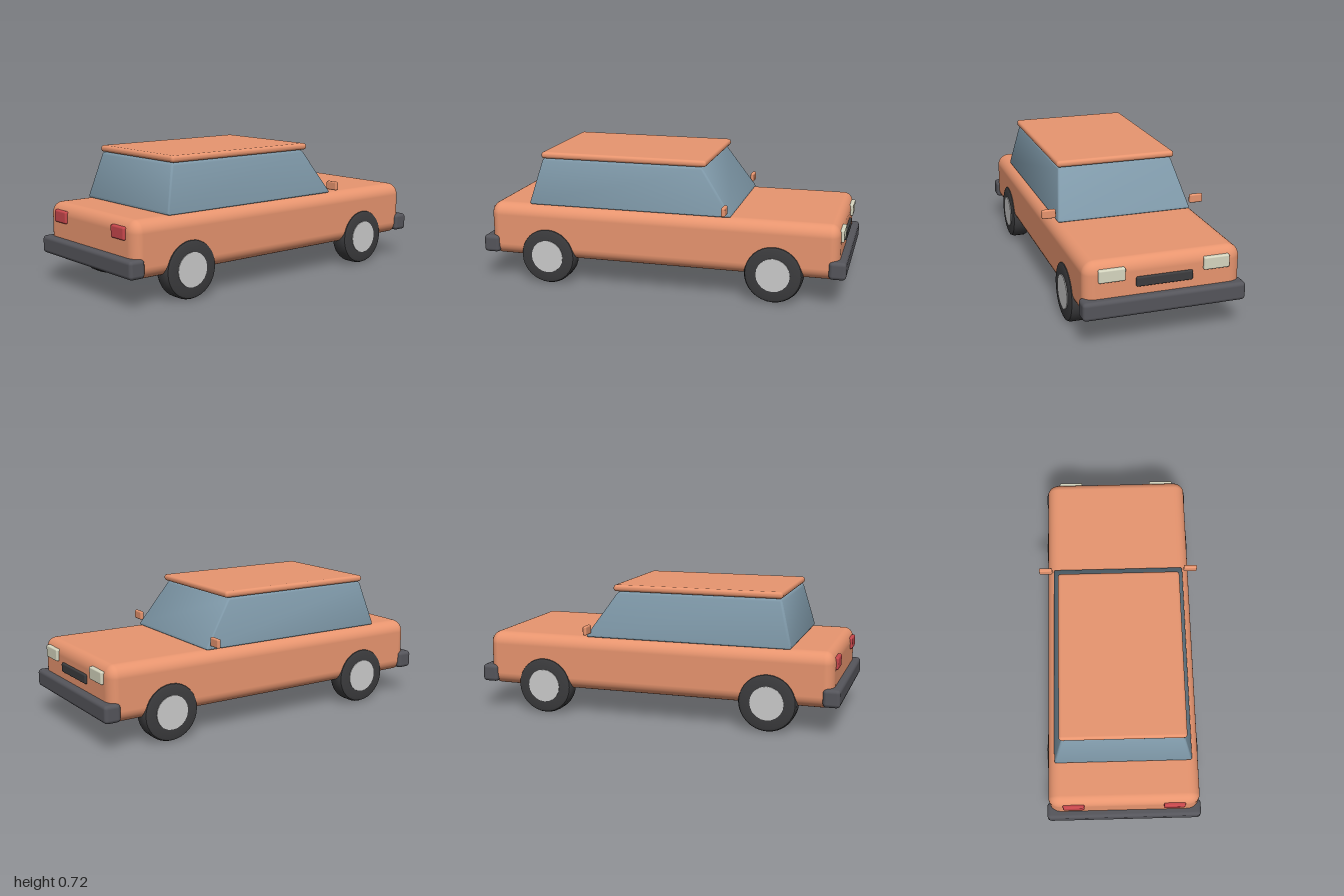
import * as THREE from 'three';
import { RoundedBoxGeometry } from 'three/addons/geometries/RoundedBoxGeometry.js';
import { toCreasedNormals } from 'three/addons/utils/BufferGeometryUtils.js';

const mat = (color) => new THREE.MeshStandardMaterial({ color });

export function createModel() {
  const car = new THREE.Group();
  car.name = 'car';
  const paint = mat(0xe8956f), glass = mat(0x7f99a9), dark = mat(0x55555b);
  const rubber = mat(0x3c3c3e), red = mat(0xc8474c), cream = mat(0xd6d6c0);
  const grey = mat(0xcccccc);

  const add = (name, geometry, material, x = 0, y = 0, z = 0, parent = car) => {
    const mesh = new THREE.Mesh(geometry, material);
    mesh.name = name;
    mesh.position.set(x, y, z);
    parent.add(mesh);
    return mesh;
  };
  const box = (w, h, d, r, seg = 2) => new RoundedBoxGeometry(w, h, d, seg, r);

  // Lower body, with tighter rounding along its length
  const body = box(0.81, 0.295, 2.4, 0.065, 4);
  body.scale(1, 1, 1.925 / 2.4);
  add('body', body, paint, 0, 0.2875, 0);

  // Glass cabin: a unit-wide rounded block tapered towards the roof
  const cabin = box(1, 0.25, 1, 0.014);
  const p = cabin.attributes.position;
  const lerp = THREE.MathUtils.lerp;
  for (let i = 0; i < p.count; i++) {
    const t = p.getY(i) / 0.25 + 0.5;
    const front = lerp(-0.395, -0.22, t), back = lerp(0.74, 0.673, t);
    p.setXYZ(i, p.getX(i) * 2 * lerp(0.371, 0.317, t), p.getY(i),
      lerp(front, back, p.getZ(i) + 0.5));
  }
  add('cabin', toCreasedNormals(cabin, 0.6), glass, 0, 0.558, 0);

  // Roof panel
  add('roof', box(0.66, 0.036, 0.925, 0.0165), paint, 0, 0.702, 0.217);

  // Bumpers at both ends
  for (const [name, s] of [['frontBumper', -1], ['rearBumper', 1]]) {
    add(name, box(0.84, 0.095, 0.09, 0.02), dark, 0, 0.203, s * 0.955);
  }

  // Grille
  add('grille', box(0.29, 0.05, 0.03, 0.008), rubber, 0, 0.317, -0.96);

  // Tyre section: radius, position along the axle
  const section = [[0.08, -0.05], [0.135, -0.05], [0.148, -0.045], [0.155, -0.03],
    [0.155, 0.03], [0.148, 0.045], [0.135, 0.05], [0.08, 0.05]];
  const tyre = toCreasedNormals(new THREE.LatheGeometry(
    section.map(([r, y]) => new THREE.Vector2(r, y)), 32), 0.75);
  tyre.rotateZ(-Math.PI / 2);
  const hub = new THREE.CylinderGeometry(0.09, 0.09, 0.108, 20).rotateZ(Math.PI / 2);

  for (const side of [-1, 1]) {
    const label = side > 0 ? 'left' : 'right';
    // Wheels
    for (const end of [-1, 1]) {
      const wheel = new THREE.Group();
      wheel.name = `${label}${end < 0 ? 'Front' : 'Rear'}Wheel`;
      wheel.position.set(side * 0.364, 0.155, end * 0.625);
      add('tyre', tyre, rubber, 0, 0, 0, wheel);
      add('hub', hub, grey, 0, 0, 0, wheel);
      car.add(wheel);
    }
    // Lamps
    add(`${label}Headlight`, box(0.135, 0.066, 0.03, 0.008), cream, side * 0.268, 0.367, -0.962);
    add(`${label}TailLight`, box(0.115, 0.066, 0.03, 0.01), red, side * 0.27, 0.367, 0.96);
    // Door mirror
    add(`${label}Mirror`, box(0.075, 0.048, 0.022, 0.008), paint, side * 0.412, 0.481, -0.365);
  }
  return car;
}
